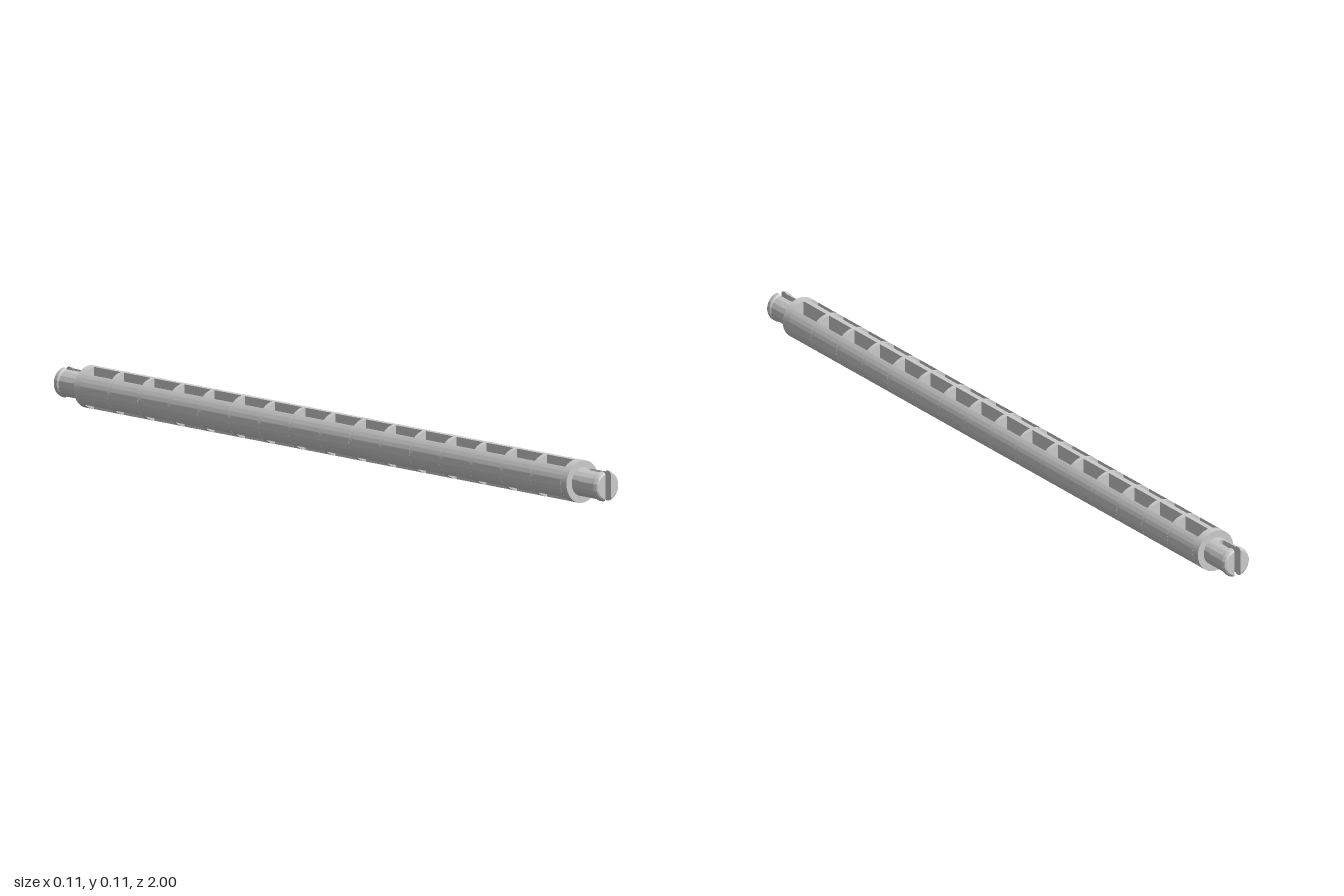
import * as THREE from 'three';
import { toCreasedNormals } from 'three/addons/utils/BufferGeometryUtils.js';

const R = 0.054;          // body radius, also the axis height
const BODY = 0.905;       // half length of the body
const COUNT = 16, PITCH = 0.111, RIB = 0.012;
const WEB = 0.007, WALL = 0.037, FLOOR = 0.008; // pocket limits in cross-section

const material = new THREE.MeshStandardMaterial({ color: 0xcccccc });

function extrude(shape, depth) {
  const g = new THREE.ExtrudeGeometry(shape, { depth, bevelEnabled: false, curveSegments: 16 });
  return toCreasedNormals(g, 0.5);
}

// Round section with four pockets, leaving a vertical web, a floor and two side walls
function pocketSection() {
  const a = Math.acos(WALL / R), b = Math.acos(WEB / R), s = new THREE.Shape();
  s.absarc(0, 0, R, -a, a, false);
  s.lineTo(WALL, FLOOR);
  s.lineTo(WEB, FLOOR);
  s.absarc(0, 0, R, b, Math.PI - b, false);
  s.lineTo(-WEB, FLOOR);
  s.lineTo(-WALL, FLOOR);
  s.absarc(0, 0, R, Math.PI - a, Math.PI + a, false);
  s.lineTo(-WALL, -FLOOR);
  s.lineTo(-WEB, -FLOOR);
  s.absarc(0, 0, R, Math.PI + b, 2 * Math.PI - b, false);
  s.lineTo(WEB, -FLOOR);
  s.lineTo(WALL, -FLOOR);
  s.closePath();
  return s;
}

// Half of a split peg: D-shaped sections given as [z, radius, half slot width]
function prongGeometry() {
  const rows = [
    [0.9, 0.036, 0], [0.926, 0.036, 0], [0.928, 0.036, 0.005], [0.932, 0.036, 0.0075],
    [0.938, 0.036, 0.009], [0.98, 0.036, 0.009], [0.984, 0.039, 0.009],
    [0.991, 0.039, 0.009], [0.997, 0.037, 0.009], [1, 0.033, 0.009],
  ];
  const N = 28, pos = [];
  const rings = rows.map(([z, r, w]) => {
    const a = Math.acos(w / r);
    return Array.from({ length: N + 1 }, (_, i) => {
      const t = -a + (2 * a * i) / N;
      return [r * Math.cos(t), r * Math.sin(t), z];
    });
  });
  for (let k = 0; k < rings.length - 1; k++) {
    for (let i = 0; i <= N; i++) {
      const j = (i + 1) % (N + 1), p = rings[k], q = rings[k + 1];
      pos.push(...p[i], ...p[j], ...q[j], ...p[i], ...q[j], ...q[i]);
    }
  }
  const tip = rings[rings.length - 1];
  for (let i = 0; i < N; i++) pos.push(0.009, 0, 1, ...tip[i], ...tip[i + 1]);
  const g = new THREE.BufferGeometry();
  g.setAttribute('position', new THREE.Float32BufferAttribute(pos, 3));
  return toCreasedNormals(g, 0.6);
}

export function createModel() {
  const model = new THREE.Group();
  model.name = 'slottedRod';
  const add = (parent, name, geometry, z = 0) => {
    const m = new THREE.Mesh(geometry, material);
    m.name = name;
    m.position.z = z;
    parent.add(m);
    return m;
  };

  // Body: pocketed lengths alternating with solid ribs
  const body = new THREE.Group();
  body.name = 'body';
  const disc = new THREE.Shape().absarc(0, 0, R, 0, Math.PI * 2, false);
  const start = -(COUNT * PITCH - RIB) / 2;
  const cap = BODY + start;
  const bay = extrude(pocketSection(), PITCH - RIB);
  const rib = extrude(disc, RIB);
  const end = extrude(disc, cap);
  for (let i = 0; i < COUNT; i++) {
    const z = start + i * PITCH;
    add(body, 'pocketBay', bay, z);
    if (i < COUNT - 1) add(body, 'rib', rib, z + PITCH - RIB);
  }
  add(body, 'endCollar', end, -BODY);
  add(body, 'endCollar', end, BODY - cap);
  model.add(body);

  // Split snap pegs at both ends
  const prong = prongGeometry();
  for (const [name, turn] of [['frontPeg', 0], ['backPeg', Math.PI]]) {
    const peg = new THREE.Group();
    peg.name = name;
    add(peg, 'leftProng', prong);
    add(peg, 'rightProng', prong).rotation.z = Math.PI;
    peg.rotation.y = turn;
    model.add(peg);
  }

  for (const part of model.children) part.position.y = R;
  return model;
}
